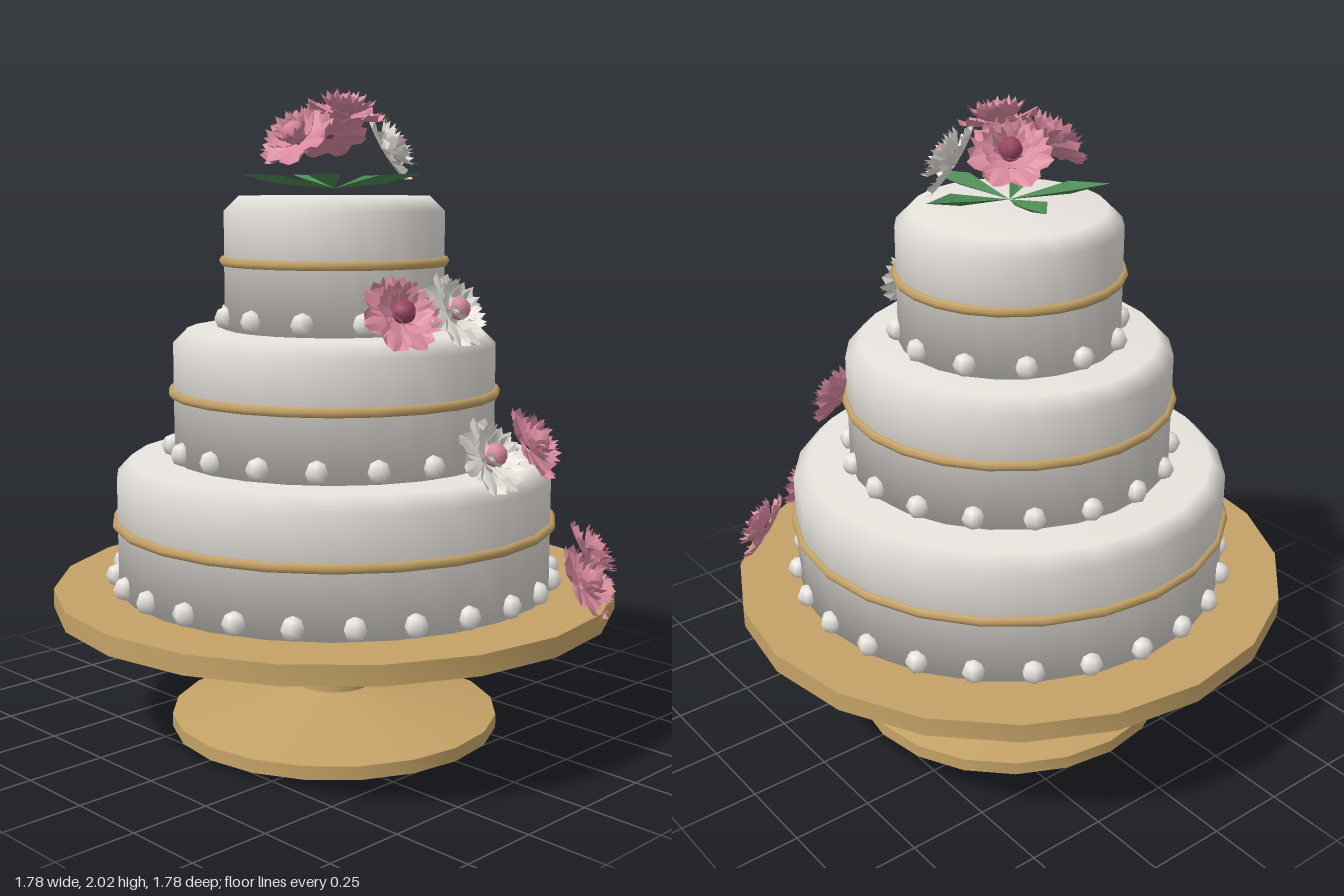
import * as THREE from 'three';
import { toCreasedNormals } from 'three/addons/utils/BufferGeometryUtils.js';
import { ParametricGeometry } from 'three/addons/geometries/ParametricGeometry.js';

function mat(name, color, side = THREE.FrontSide) {
  const m = new THREE.MeshStandardMaterial({ color, side });
  m.name = name;
  return m;
}

const V = (pairs) => pairs.map(([x, y]) => new THREE.Vector2(x, y));

export function createModel() {
  const root = new THREE.Group();
  root.name = 'tieredCake';

  const gold = mat('gold', 0xc4a266);
  const icing = mat('icing', 0xf2eee8);
  const pearlWhite = mat('pearl white', 0xf4f1ec);
  const pink = mat('pink petal', 0xd98a9f, THREE.DoubleSide);
  const white = mat('white petal', 0xf0ebe4, THREE.DoubleSide);
  const rose = mat('dark rose', 0x9a4660);
  const green = mat('leaf green', 0x4c8a54, THREE.DoubleSide);

  const add = (parent, name, geo, material) => {
    const m = new THREE.Mesh(geo, material);
    m.name = name;
    parent.add(m);
    return m;
  };

  // Pedestal stand: foot, stem and plate in one turned profile
  const stand = new THREE.LatheGeometry(V([
    [0, 0], [0.525, 0], [0.525, 0.042], [0.117, 0.125], [0.117, 0.365],
    [0.89, 0.41], [0.89, 0.47], [0, 0.47],
  ]), 20);
  add(root, 'cakeStand', toCreasedNormals(stand, 0.6), gold);

  // Tiers with a piped band and a ring of pearls each
  const tiers = [
    { name: 'bottomTier', y: 0.47, r: 0.69, h: 0.405, pearls: 25 },
    { name: 'middleTier', y: 0.875, r: 0.508, h: 0.405, pearls: 18 },
    { name: 'topTier', y: 1.28, r: 0.344, h: 0.41, pearls: 12 },
  ];
  const pearlGeo = new THREE.SphereGeometry(0.037, 6, 4);
  for (const t of tiers) {
    const tier = new THREE.Group();
    tier.name = t.name;
    tier.position.y = t.y;
    root.add(tier);
    add(tier, 'icing', new THREE.LatheGeometry(V([
      [0, 0], [t.r, 0], [t.r, t.h - 0.047], [t.r - 0.047, t.h], [0, t.h],
    ]), 24), icing);
    const band = add(tier, 'band', new THREE.TorusGeometry(t.r, 0.016, 6, 24), gold);
    band.rotation.x = Math.PI / 2;
    band.position.y = 0.21;
    for (let i = 0; i < t.pearls; i++) {
      const a = (i / t.pearls) * Math.PI * 2;
      const p = add(tier, 'pearl', pearlGeo, pearlWhite);
      p.position.set(Math.cos(a) * t.r, 0.037, Math.sin(a) * t.r);
      p.rotation.y = -a;
    }
  }

  // Petal growing along +y, cupped towards +z, with a ruffled rim
  const petal = (reach, width, lift) => new ParametricGeometry((u, v, out) => {
    const s = u * 2 - 1;
    const half = width * (0.25 + 0.75 * Math.sin(Math.PI * Math.pow(v, 1.3) * 0.8));
    const ruffle = 0.006 * Math.cos(s * Math.PI * 2) * v;
    out.set(s * half, 0.012 + (reach - 0.012) * v * (1 - 0.1 * s * s) + ruffle,
      lift * Math.pow(v, 1.4) + 0.012 * s * s * v + ruffle);
  }, 4, 3);
  const layers = [
    { n: 7, z: 0, geo: petal(0.122, 0.05, 0.015) },
    { n: 6, z: 0.01, geo: petal(0.085, 0.04, 0.04) },
    { n: 5, z: 0.012, geo: petal(0.052, 0.028, 0.05) },
  ].map((l) => ({ ...l, geo: toCreasedNormals(l.geo, 0.3) }));
  const budGeo = new THREE.SphereGeometry(0.036, 8, 6);

  const flower = (pos, dir, petalMat, budMat) => {
    const f = new THREE.Group();
    f.name = 'flower';
    f.position.set(...pos);
    f.lookAt(f.position.clone().add(new THREE.Vector3(...dir)));
    layers.forEach(({ n, z, geo }, k) => {
      for (let i = 0; i < n; i++) {
        const p = add(f, 'petal', geo, petalMat);
        p.rotation.z = (i / n) * Math.PI * 2 + k * 0.4;
        p.position.z = z + (i % 2) * 0.004;
      }
    });
    add(f, 'flowerCentre', budGeo, budMat).position.z = 0.04;
    root.add(f);
  };

  // Flowers cascading down the front: azimuth in degrees, ring radius, height
  const cascade = [
    [-20, 0.445, 1.345, pink, rose], [5, 0.445, 1.345, white, pink],
    [1, 0.615, 0.935, white, pink], [25, 0.625, 0.935, pink, pink],
    [21, 0.81, 0.535, pink, pink], [46, 0.81, 0.535, pink, rose],
  ];
  for (const [deg, r, y, a, b] of cascade) {
    const t = THREE.MathUtils.degToRad(deg);
    const sx = Math.sin(t), cz = Math.cos(t);
    flower([sx * r, y, cz * r], [sx, 0.6, cz], a, b);
  }

  // Domed bouquet on top
  flower([0, 1.925, 0.045], [0, 1, 0.25], pink, pink);
  flower([-0.145, 1.85, 0], [-0.75, 0.75, 0.05], pink, pink);
  flower([0.065, 1.87, -0.085], [0.35, 0.75, -0.5], pink, rose);
  flower([0.13, 1.825, 0.085], [0.55, 0.5, 0.6], white, pink);

  // Five folded leaves spread under the bouquet
  const leafGeo = new THREE.BufferGeometry();
  leafGeo.setAttribute('position', new THREE.Float32BufferAttribute([
    0, 0, 0, 0.18, 0.015, 0, 0.18, 0.04, -0.05, 0.3, 0.045, 0, 0.18, 0.04, 0.05,
  ], 3));
  leafGeo.setIndex([0, 1, 2, 1, 3, 2, 0, 4, 1, 4, 3, 1]);
  const leafFlat = toCreasedNormals(leafGeo, 0.1);
  for (let i = 0; i < 5; i++) {
    const leaf = add(root, 'leaf', leafFlat, green);
    leaf.position.y = 1.712;
    leaf.rotation.y = (i / 5) * Math.PI * 2;
  }

  return root;
}
